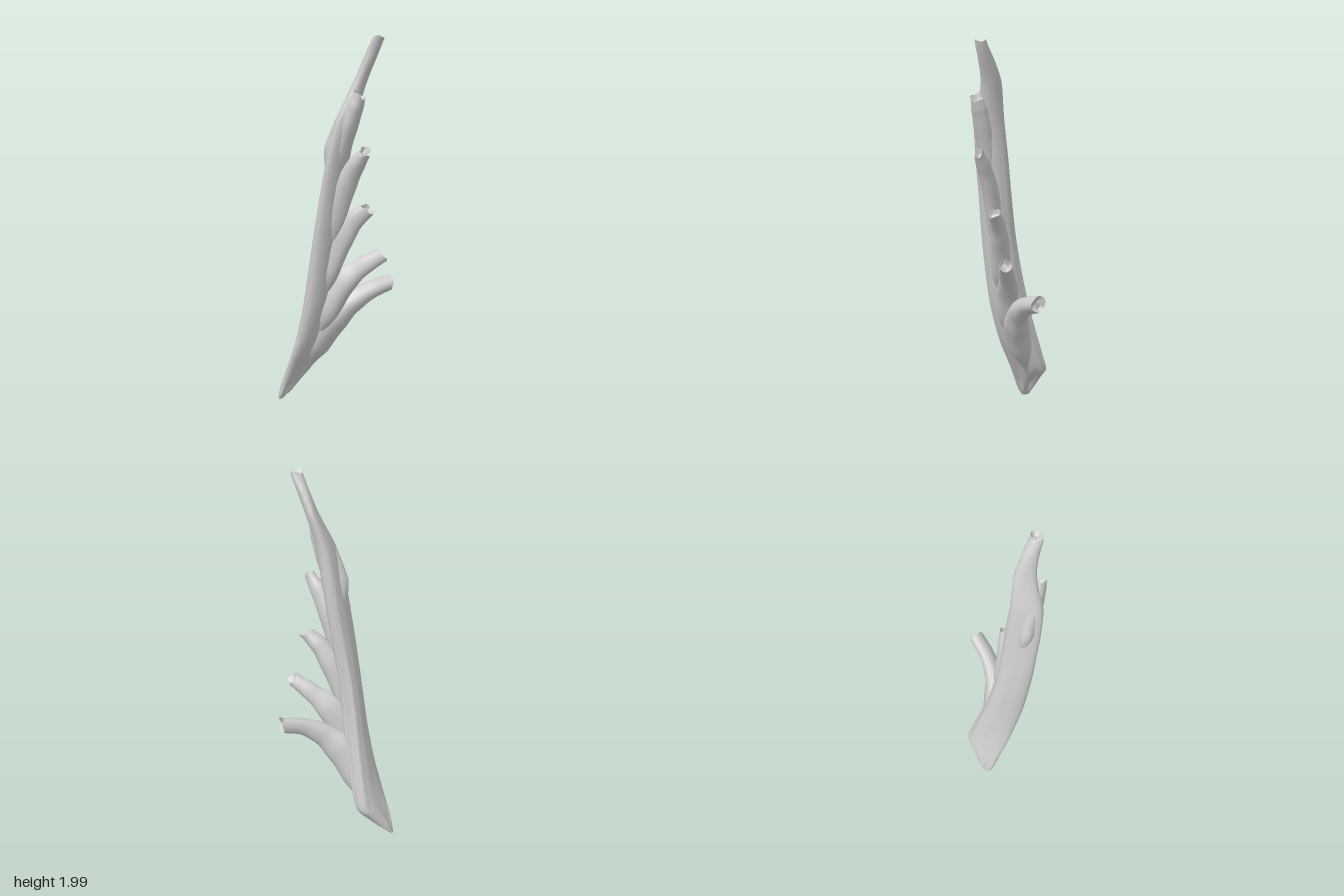
import * as THREE from 'three';
import { toCreasedNormals } from 'three/addons/utils/BufferGeometryUtils.js';

const material = new THREE.MeshStandardMaterial({ color: 0xcccccc });
const TAU = Math.PI * 2;

// Skin closed rings of equal length and close both ends with a shared centre
function loft(rings, name) {
  const n = rings[0].length;
  const pos = rings.flat().flatMap((p) => [p.x, p.y, p.z]);
  const index = [];
  for (let i = 0; i < rings.length - 1; i++) {
    for (let j = 0; j < n; j++) {
      const a = i * n + j, b = i * n + (j + 1) % n;
      index.push(a, a + n, b, b, a + n, b + n);
    }
  }
  [rings[0], rings[rings.length - 1]].forEach((ring, end) => {
    const c = ring.reduce((s, p) => s.add(p), new THREE.Vector3()).divideScalar(n);
    const k = pos.length / 3, start = end ? (rings.length - 1) * n : 0;
    pos.push(c.x, c.y, c.z);
    for (let j = 0; j < n; j++) {
      const a = start + j, b = start + (j + 1) % n;
      index.push(...(end ? [a, k, b] : [a, b, k]));
    }
  });
  const geo = new THREE.BufferGeometry();
  geo.setAttribute('position', new THREE.Float32BufferAttribute(pos, 3));
  geo.setIndex(index);
  const mesh = new THREE.Mesh(toCreasedNormals(geo, 0.8), material);
  mesh.name = name;
  return mesh;
}

// Smaller ring sunk below the rim, giving a broken hollow tip
function hollow(ring, axis, depth) {
  const c = ring.reduce((s, p) => s.add(p), new THREE.Vector3()).divideScalar(ring.length);
  return ring.map((p) => p.clone().lerp(c, 0.45).addScaledVector(axis, -depth));
}

// Main stem: extents per height [y, xMin, xMax, zMin, zMax]
const STEM = [
  [0.005, -0.302, -0.26, 0.215, 0.248],
  [0.05, -0.298, -0.235, 0.18, 0.25],
  [0.1, -0.287, -0.208, 0.13, 0.25],
  [0.15, -0.278, -0.18, 0.08, 0.25],
  [0.2, -0.267, -0.152, 0.035, 0.25],
  [0.3, -0.235, -0.095, 0.032, 0.25],
  [0.4, -0.205, -0.045, 0.04, 0.246],
  [0.6, -0.145, 0.022, 0.055, 0.242],
  [0.8, -0.095, 0.06, 0.065, 0.237],
  [1.0, -0.045, 0.09, 0.062, 0.23],
  [1.2, 0.0, 0.118, 0.048, 0.217],
  [1.4, 0.037, 0.155, 0.036, 0.2],
  [1.6, 0.077, 0.195, 0.028, 0.165],
  [1.72, 0.11, 0.21, 0.01, 0.11],
  [1.8, 0.138, 0.228, -0.005, 0.077],
  [1.9, 0.192, 0.27, -0.015, 0.052],
  [1.97, 0.243, 0.297, -0.022, 0.043],
  [1.99, 0.256, 0.303, -0.024, 0.04],
];

function stem() {
  const lower = new THREE.CatmullRomCurve3(STEM.map((s) => new THREE.Vector3(s[1], s[0], s[3])));
  const upper = new THREE.CatmullRomCurve3(STEM.map((s) => new THREE.Vector3(s[2], s[0], s[4])));
  const rings = [], steps = 68, sides = 36;
  for (let i = 0; i <= steps; i++) {
    const lo = lower.getPoint(i / steps), hi = upper.getPoint(i / steps);
    const mid = lo.clone().add(hi).multiplyScalar(0.5);
    const half = hi.clone().sub(lo).multiplyScalar(0.5);
    const fade = Math.min(1, Math.max(0, (1.75 - mid.y) / 0.8));
    const foot = Math.max(0, 1 - mid.y / 0.25) * Math.min(1, mid.y * 12);
    const lean = THREE.MathUtils.clamp((2 - mid.y) / 0.2, 0, 1);
    const ring = [];
    for (let j = 0; j < sides; j++) {
      const a = (j / sides) * TAU;
      // section flattened on the outer front, fuller towards the prongs
      const skew = lean * (0.45 + 0.25 * Math.sin(a - Math.PI / 4));
      // long grain grooves, deepest on the back and outer side
      const side = 0.5 - 0.5 * Math.cos(a - 0.6);
      const groove = 1 - fade * side * 0.07 * (0.5 + 0.5 * Math.sin(9 * a + 1.5 * mid.y));
      ring.push(new THREE.Vector3(
        mid.x + half.x * Math.cos(a) * groove,
        mid.y + 0.025 * Math.sin(5 * a + 1) * foot,
        mid.z + half.z * Math.sin(a + skew) * groove));
    }
    rings.push(ring);
  }
  const tip = rings[rings.length - 1];
  tip.forEach((p, j) => { p.y += 0.006 * Math.sin((j / sides) * TAU * 2); });
  rings.push(hollow(tip, new THREE.Vector3(0.3, 0.95, 0), 0.02));
  return loft(rings, 'mainStem');
}

// Side prong: path points, radii along it and a width factor across the path
function prong(path, radii, squash, seed, name) {
  const curve = new THREE.CatmullRomCurve3(path.map((p) => new THREE.Vector3(...p)));
  const rings = [], steps = 24, sides = 16;
  const t = new THREE.Vector3(), u = new THREE.Vector3(), v = new THREE.Vector3();
  const across = new THREE.Vector3(1, 0, 1).normalize();
  for (let i = 0; i <= steps; i++) {
    const s = i / steps, c = curve.getPoint(s);
    curve.getTangent(s, t);
    u.copy(across).addScaledVector(t, -across.dot(t)).normalize();
    v.crossVectors(u, t);
    const f = s * (radii.length - 1), k = Math.min(Math.floor(f), radii.length - 2);
    const r = THREE.MathUtils.lerp(radii[k], radii[k + 1], THREE.MathUtils.smoothstep(f - k, 0, 1));
    const ring = [];
    for (let j = 0; j < sides; j++) {
      const a = (j / sides) * TAU;
      const w = r * (1 + 0.06 * Math.sin(3 * a + seed + s * 2));
      // web filling the crotch between prong and stem
      const web = 1 + 0.9 * Math.max(0, Math.sin(a)) * Math.min(s * 3, 1 - s);
      const jag = i === steps ? 0.012 * Math.sin(a + seed) + 0.007 * Math.sin(3 * a + seed * 2) : 0;
      ring.push(c.clone().addScaledVector(u, Math.cos(a) * w * squash)
        .addScaledVector(v, Math.sin(a) * w * web).addScaledVector(t, jag));
    }
    rings.push(ring);
  }
  rings.push(hollow(rings[steps], t, 0.022));
  return loft(rings, name);
}

// Prongs from the lowest to the highest, each rooted inside the stem
const PRONGS = [
  { path: [[-0.19, 0.18, 0.12], [-0.1, 0.36, 0.098], [-0.02, 0.5, 0.05], [0.04, 0.59, -0.022], [0.085, 0.65, -0.118], [0.115, 0.685, -0.228]],
    radii: [0.02, 0.07, 0.073, 0.056, 0.044, 0.042], squash: 0.95 },
  { path: [[-0.09, 0.36, 0.13], [-0.008, 0.56, 0.098], [0.055, 0.71, 0.042], [0.128, 0.805, -0.022], [0.21, 0.88, -0.088]],
    radii: [0.015, 0.066, 0.062, 0.046, 0.037], squash: 0.9 },
  { path: [[-0.04, 0.58, 0.145], [0.03, 0.8, 0.118], [0.085, 0.96, 0.077], [0.142, 1.07, 0.037], [0.2, 1.135, 0.0]],
    radii: [0.015, 0.058, 0.056, 0.045, 0.036], squash: 0.9 },
  { path: [[0.005, 0.8, 0.145], [0.073, 1.06, 0.12], [0.133, 1.24, 0.095], [0.192, 1.36, 0.077], [0.248, 1.44, 0.06]],
    radii: [0.015, 0.05, 0.048, 0.041, 0.029], squash: 0.9 },
  { path: [[0.055, 1.15, 0.135], [0.118, 1.42, 0.12], [0.166, 1.56, 0.104], [0.203, 1.65, 0.092], [0.233, 1.715, 0.085]],
    radii: [0.015, 0.05, 0.049, 0.042, 0.031], squash: 1 },
];

export function createModel() {
  const group = new THREE.Group();
  group.name = 'branchedStem';
  group.add(stem());
  PRONGS.forEach((p, i) => group.add(prong(p.path, p.radii, p.squash, i * 1.7, `sideProng${i + 1}`)));
  return group;
}
